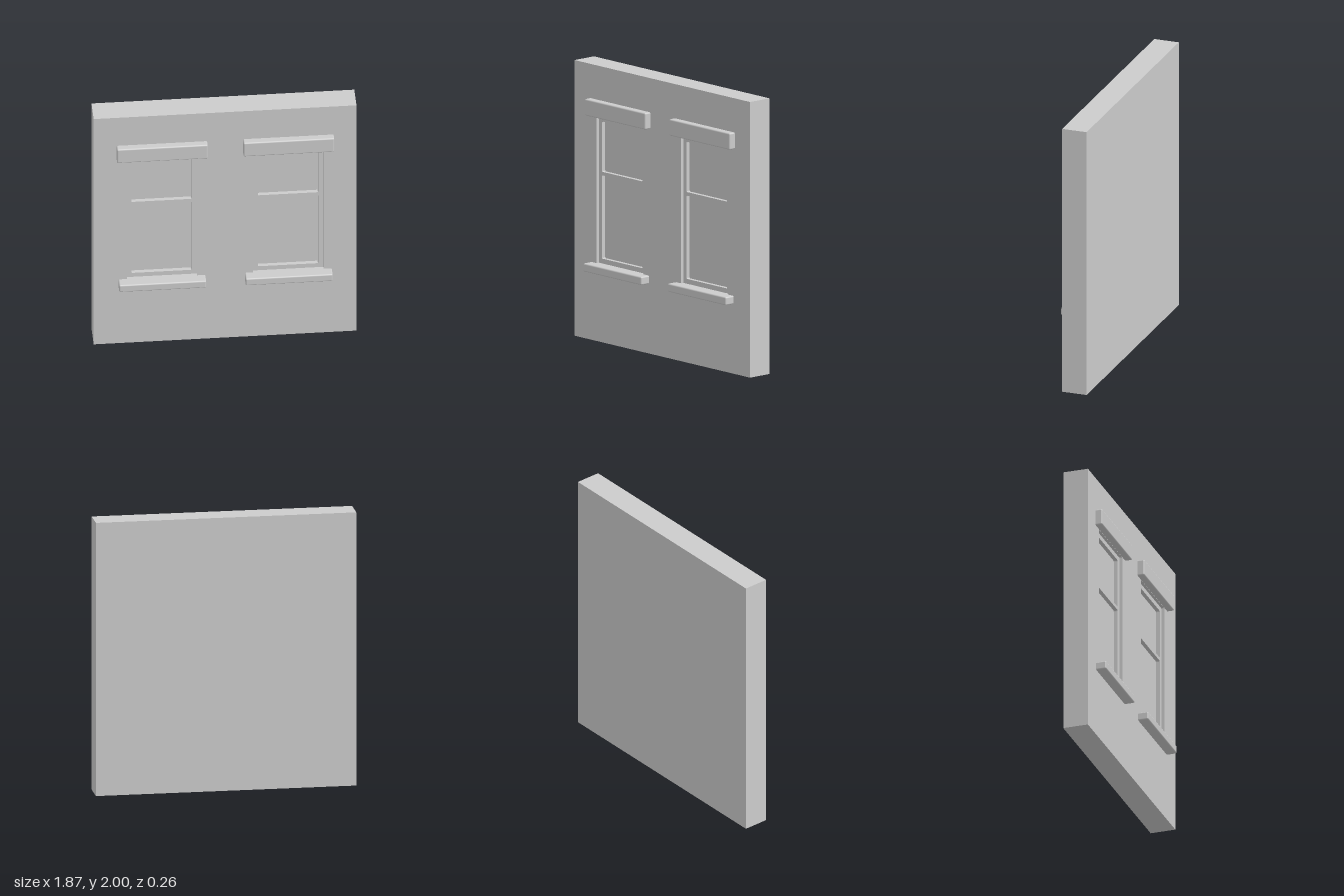
import * as THREE from 'three';
import { RoundedBoxGeometry } from 'three/addons/geometries/RoundedBoxGeometry.js';

const FRONT = 0.055, BACK = -0.13;   // wall faces
const RECESS = 0.022, GLASS = 0.03;  // depth of the frame, then of the panes
const HALF_W = 0.935, HEIGHT = 2;
const OPENING = [0.2, 0.7, 0.565, 1.63]; // x0, x1, y0, y1 of the left opening

// Rectangle with lightly rounded corners
function roundRect(path, x0, x1, y0, y1, r) {
  path.moveTo(x0 + r, y0);
  path.lineTo(x1 - r, y0).quadraticCurveTo(x1, y0, x1, y0 + r);
  path.lineTo(x1, y1 - r).quadraticCurveTo(x1, y1, x1 - r, y1);
  path.lineTo(x0 + r, y1).quadraticCurveTo(x0, y1, x0, y1 - r);
  path.lineTo(x0, y0 + r).quadraticCurveTo(x0, y0, x0 + r, y0);
  return path;
}

function rect(path, x0, x1, y0, y1) {
  return path.moveTo(x0, y0).lineTo(x1, y0).lineTo(x1, y1).lineTo(x0, y1).lineTo(x0, y0);
}

// Box keeping only the listed faces (0 +x, 1 -x, 2 +y, 3 -y, 4 +z, 5 -z)
function partialBox(x0, x1, y0, y1, z0, z1, faces) {
  const g = new THREE.BoxGeometry(x1 - x0, y1 - y0, z1 - z0);
  const all = Array.from(g.index.array);
  g.setIndex(faces.flatMap(f => all.slice(f * 6, f * 6 + 6)));
  g.clearGroups();
  return g.translate((x0 + x1) / 2, (y0 + y1) / 2, (z0 + z1) / 2);
}

// Turns a geometry inside out
function inward(g) {
  g.setIndex(Array.from(g.index.array).reverse());
  const n = g.attributes.normal;
  for (let i = 0; i < n.count; i++) n.setXYZ(i, -n.getX(i), -n.getY(i), -n.getZ(i));
  return g;
}

export function createModel() {
  const model = new THREE.Group();
  const plaster = new THREE.MeshStandardMaterial({ color: 0xcccccc });
  plaster.name = 'plain grey';

  const add = (parent, name, geometry) => {
    const mesh = new THREE.Mesh(geometry, plaster);
    mesh.name = name;
    parent.add(mesh);
  };

  // Wall: sides and back, then a front face with two openings
  const wall = new THREE.Group();
  wall.name = 'wall';
  add(wall, 'wallSidesAndBack',
    partialBox(-HALF_W, HALF_W, 0, HEIGHT, BACK, FRONT, [0, 1, 2, 3, 5]));
  const face = rect(new THREE.Shape(), -HALF_W, HALF_W, 0, HEIGHT);
  const [x0, x1, y0, y1] = OPENING;
  face.holes.push(rect(new THREE.Path(), x0, x1, y0, y1), rect(new THREE.Path(), -x1, -x0, y0, y1));
  add(wall, 'wallFront', new THREE.ShapeGeometry(face).translate(0, 0, FRONT));
  model.add(wall);

  // Window frame with an upper and a lower sash
  const frame = rect(new THREE.Shape(), -0.25, 0.25, y0, y1);
  for (const [a, b] of [[0.6, 1.205], [1.23, 1.595]]) {
    frame.holes.push(roundRect(new THREE.Path(), -0.215, 0.215, a, b, 0.007));
  }
  const frameZ = FRONT - RECESS;
  const frameGeometry = new THREE.ExtrudeGeometry(frame,
    { depth: GLASS, bevelEnabled: false, curveSegments: 3 }).translate(0, 0, frameZ - GLASS);
  const reveal = inward(partialBox(-0.25, 0.25, y0, y1, frameZ, FRONT, [0, 1, 2, 3]));
  const panes = new THREE.PlaneGeometry(0.48, y1 - y0 - 0.02)
    .translate(0, (y0 + y1) / 2, frameZ - GLASS + 0.0005);

  // Lintel and sill, rounded blocks set partly into the wall
  const block = (w, a, b, z) => new RoundedBoxGeometry(w, b - a, z - 0.02, 2, 0.01)
    .translate(0, (a + b) / 2, (z + 0.02) / 2);
  const lintel = block(0.646, 1.632, 1.752, 0.105);
  const sill = block(0.62, 0.505, 0.565, 0.13);

  for (const [name, x] of [['leftWindow', 0.45], ['rightWindow', -0.45]]) {
    const win = new THREE.Group();
    win.name = name;
    win.position.x = x;
    add(win, 'reveal', reveal);
    add(win, 'frame', frameGeometry);
    add(win, 'panes', panes);
    add(win, 'lintel', lintel);
    add(win, 'sill', sill);
    model.add(win);
  }
  return model;
}
